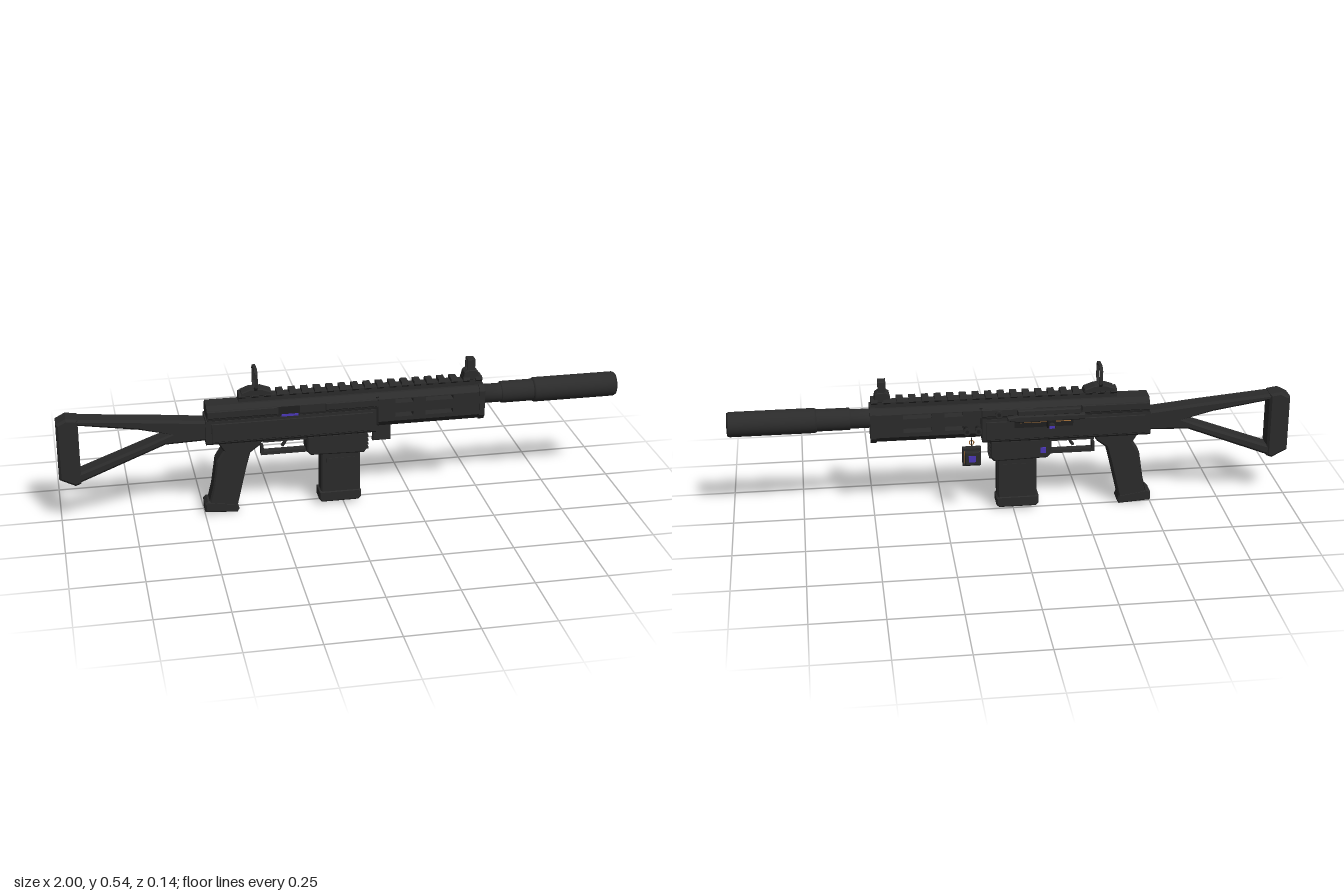
import * as THREE from 'three';

const mat = (name, color) => {
  const m = new THREE.MeshStandardMaterial({ color });
  m.name = name;
  return m;
};

export function createModel() {
  const black = mat('black polymer', 0x2b2b2b);
  const dark = mat('dark steel', 0x1f1f1f);
  const violet = mat('violet accent', 0x4a36b5);
  const bronze = mat('bronze', 0xa8743c);

  const root = new THREE.Group();
  const gun = new THREE.Group();
  gun.name = 'rifle';
  gun.position.z = 0.019;
  root.add(gun);

  const add = (name, geo, material = black) => {
    const m = new THREE.Mesh(geo, material);
    m.name = name;
    gun.add(m);
    return m;
  };
  const poly = (pts) => pts.map(([x, y]) => new THREE.Vector2(x, y));

  // Box given by its limits
  const box = (name, x0, x1, y0, y1, z0, z1, material) =>
    add(name, new THREE.BoxGeometry(x1 - x0, y1 - y0, z1 - z0)
      .translate((x0 + x1) / 2, (y0 + y1) / 2, (z0 + z1) / 2), material);

  // Side outline, extruded across the width with chamfered edges
  const plate = (name, pts, half, bevel = 0, holes = [], material = black, zc = 0) => {
    const s = new THREE.Shape(poly(pts));
    holes.forEach((h) => s.holes.push(new THREE.Path(poly(h))));
    const geo = new THREE.ExtrudeGeometry(s, {
      depth: 2 * (half - bevel), bevelEnabled: bevel > 0, bevelSegments: 1,
      bevelSize: bevel, bevelThickness: bevel, bevelOffset: -bevel,
    });
    return add(name, geo.translate(0, 0, zc - half + bevel), material);
  };
  const rect = (x0, x1, y0, y1) => [[x0, y0], [x1, y0], [x1, y1], [x0, y1]];

  // Symmetric section (right half, bottom to top) extruded along the barrel
  const beam = (name, half, x0, x1, material) => {
    const pts = [...half, ...half.map(([w, y]) => [-w, y]).reverse()];
    const geo = new THREE.ExtrudeGeometry(new THREE.Shape(poly(pts)), { depth: x1 - x0, bevelEnabled: false });
    return add(name, geo.rotateY(Math.PI / 2).translate(x0, 0, 0), material);
  };

  // Turned part along the barrel, profile as [x, radius]
  const turned = (name, profile, y, material = black) => {
    const pos = [];
    profile.forEach(([x, r]) => pos.push(new THREE.Vector2(r, x)));
    const g = new THREE.LatheGeometry(pos, 32).toNonIndexed();
    g.rotateZ(-Math.PI / 2).translate(0, y, 0);
    return add(name, g, material);
  };

  // Stock
  plate('stock', [[-0.99, 0.385], [-0.965, 0.402], [-0.665, 0.375], [-0.47, 0.355], [-0.47, 0.285],
    [-0.63, 0.28], [-0.94, 0.157], [-0.99, 0.18]].reverse(), 0.033, 0.008,
  [[[-0.925, 0.376], [-0.72, 0.344], [-0.61, 0.317], [-0.69, 0.288], [-0.925, 0.2]]]);
  plate('buttPad', [[-1, 0.18], [-0.945, 0.152], [-0.925, 0.16], [-0.925, 0.4], [-0.965, 0.406], [-1, 0.388]], 0.037, 0.008);

  // Receiver
  beam('lowerReceiver', [[0.04, 0.272], [0.046, 0.279], [0.046, 0.362], [0.042, 0.366]], -0.49, 0.112);
  beam('upperReceiver', [[0.042, 0.362], [0.045, 0.37], [0.045, 0.398], [0.029, 0.415]], -0.485, 0.12);
  for (const s of [-1, 1]) {
    const z = s * 0.046;
    plate('rearSidePanel', rect(-0.485, -0.24, 0.372, 0.4), 0.005, 0.003, [], black, z);
    plate('frontSidePanel', rect(-0.07, 0.115, 0.372, 0.4), 0.004, 0.003, [], black, z);
    plate('lowerSidePanel', rect(-0.47, 0.1, 0.283, 0.352), 0.003, 0.002, [], black, z);
    box('receiverSeam', -0.485, 0.112, 0.363, 0.366, s * 0.044 - 0.002, s * 0.044 + 0.002, dark);
  }
  box('leftPort', -0.235, -0.16, 0.368, 0.398, 0.044, 0.046, dark);
  box('leftAccent', -0.225, -0.165, 0.362, 0.37, 0.045, 0.0485, violet);

  // Handguard with open slots
  const guardWidth = [[0.03, 0.292], [0.046, 0.312], [0.046, 0.397], [0.03, 0.415]];
  beam('handguardFrontRing', [[0.034, 0.29], [0.049, 0.309], [0.049, 0.4], [0.033, 0.418]], 0.485, 0.505);
  [[0.12, 0.18], [0.245, 0.29], [0.39, 0.49]].forEach(([a, b]) => beam('handguard', guardWidth, a, b));
  [[0.18, 0.245], [0.29, 0.39]].forEach(([a, b]) => {
    beam('handguardFloor', [[0.03, 0.292], [0.046, 0.312], [0.046, 0.327]], a, b);
    beam('handguardMiddle', [[0.046, 0.343], [0.046, 0.379]], a, b);
    beam('handguardRoof', [[0.046, 0.394], [0.046, 0.397], [0.03, 0.415]], a, b);
  });
  box('handguardSeam', 0.112, 0.122, 0.3, 0.405, -0.042, 0.042, dark);

  // Top rail and teeth
  box('rail', -0.37, 0.5, 0.413, 0.434, -0.019, 0.019);
  for (let i = 0; i < 20; i++) {
    const x = -0.37 + i * 0.0445;
    beam('railTooth', [[0.019, 0.428], [0.025, 0.435], [0.021, 0.446]], x, x + 0.024);
  }

  // Rear ring sight
  const octagon = (w, y0, y1, c) => [[-w, y0 + c], [-w + c, y0], [w - c, y0], [w, y0 + c],
    [w, y1 - c], [w - c, y1], [-w + c, y1], [-w, y1 - c]];
  const ring = (name, w, y0, y1, c, t, x, depth) => {
    const s = new THREE.Shape(poly(octagon(w, y0, y1, c)));
    s.holes.push(new THREE.Path(poly(octagon(w - t, y0 + t, y1 - t, c * 0.8))));
    add(name, new THREE.ExtrudeGeometry(s, { depth, bevelEnabled: false })
      .rotateY(Math.PI / 2).translate(x - depth / 2, 0, 0));
  };
  ring('rearSightRing', 0.039, 0.456, 0.536, 0.015, 0.006, -0.31, 0.011);
  plate('rearSightBase', [[-0.365, 0.436], [-0.25, 0.436], [-0.255, 0.448], [-0.29, 0.461], [-0.33, 0.461], [-0.36, 0.45]], 0.024, 0.003);

  // Front sight
  plate('frontSightBase', [[0.43, 0.436], [0.49, 0.436], [0.485, 0.465], [0.475, 0.472], [0.445, 0.472], [0.435, 0.465]], 0.021, 0.003);
  ring('frontSightFrame', 0.0185, 0.464, 0.512, 0.003, 0.005, 0.46, 0.027);
  add('frontSightPost', new THREE.CylinderGeometry(0.0015, 0.004, 0.03, 8).translate(0.46, 0.482, 0));

  // Barrel and suppressor
  turned('barrel', [[0.49, 0], [0.49, 0.034], [0.575, 0.034], [0.575, 0.02]], 0.371);
  turned('suppressorCollar', [[0.57, 0.03], [0.575, 0.039], [0.69, 0.039], [0.695, 0.036]], 0.372);
  turned('suppressor', [[0.69, 0.034], [0.69, 0.04], [0.697, 0.044], [0.992, 0.044], [1, 0.04],
    [1, 0.015], [0.97, 0.014]], 0.372).material.flatShading = false;
  turned('bore', [[0.965, 0.015], [0.972, 0.015], [0.972, 0]], 0.372, dark);

  // Pistol grip, an open frame
  plate('grip', [[-0.45, 0.275], [-0.285, 0.275], [-0.3, 0.252], [-0.335, 0.225], [-0.35, 0.17], [-0.385, 0.02],
    [-0.49, 0.02], [-0.47, 0.1], [-0.455, 0.2], [-0.43, 0.24]].reverse(), 0.033, 0.006,
  [[[-0.415, 0.225], [-0.355, 0.22], [-0.368, 0.17], [-0.402, 0.045], [-0.477, 0.045], [-0.457, 0.12], [-0.442, 0.195]]]);
  plate('gripBase', [[-0.5, 0.008], [-0.385, 0], [-0.378, 0.012], [-0.385, 0.034], [-0.49, 0.05], [-0.5, 0.04]], 0.034, 0.005);

  // Trigger and guard
  box('triggerGuard', -0.295, -0.125, 0.205, 0.217, -0.014, 0.014);
  box('triggerGuardPost', -0.295, -0.285, 0.205, 0.24, -0.014, 0.014);
  box('guardUpperBar', -0.29, -0.13, 0.258, 0.275, -0.025, 0.025);
  add('trigger', new THREE.TubeGeometry(new THREE.CatmullRomCurve3([[-0.215, 0.27], [-0.206, 0.25], [-0.218, 0.23]]
    .map(([x, y]) => new THREE.Vector3(x, y, 0))), 8, 0.006, 6));

  // Magazine well with ribs
  plate('magazineWell', [[-0.135, 0.275], [-0.135, 0.215], [-0.12, 0.2], [0.07, 0.195], [0.083, 0.21], [0.083, 0.275]], 0.039, 0.005);
  for (let i = 0; i < 4; i++) {
    const y = 0.206 + i * 0.015;
    box('wellRib', 0.08, 0.087, y, y + 0.008, -0.032, 0.032);
  }
  box('magazineRelease', -0.115, -0.095, 0.222, 0.242, -0.045, -0.036, violet);

  // Magazine
  plate('magazine', rect(-0.083, 0.056, 0.03, 0.21), 0.031, 0.004);
  box('magazineFrontPanel', 0.05, 0.058, 0.052, 0.19, -0.026, 0.026);
  for (const s of [-1, 1]) {
    box('magazineSidePanel', -0.065, 0.038, 0.07, 0.18, s * 0.031 - 0.002, s * 0.031 + 0.002);
  }
  plate('magazineBase', [[-0.09, 0.02], [-0.08, 0.01], [0.052, 0.01], [0.062, 0.02], [0.062, 0.045], [0.052, 0.052], [-0.09, 0.052]], 0.034, 0.005);

  // Bolt cover, cartridge strip and charging knob on the right side
  plate('boltCover', [[-0.25, 0.355], [-0.02, 0.352], [0.025, 0.36], [0.025, 0.372], [-0.01, 0.378], [-0.25, 0.376]], 0.01, 0.004, [], black, -0.06);
  plate('boltCoverUpper', rect(-0.235, -0.01, 0.374, 0.397), 0.009, 0.004, [], black, -0.055);
  box('boltStrip', -0.2, -0.02, 0.349, 0.354, -0.062, -0.045, bronze);
  box('portRecess', -0.21, 0, 0.326, 0.35, -0.05, -0.045, dark);
  plate('chargingArm', rect(-0.145, -0.115, 0.328, 0.36), 0.012, 0.003, [], dark, -0.06);
  add('chargingKnob', new THREE.CylinderGeometry(0.012, 0.012, 0.014, 12).rotateX(Math.PI / 2)
    .translate(-0.13, 0.338, -0.079));
  box('knobAccent', -0.14, -0.12, 0.333, 0.343, -0.087, -0.073, violet);
  for (const [x, y] of [[0.055, 0.385], [0.13, 0.335], [0.17, 0.335]]) {
    const end = x > 0.1 ? 0.087 : 0.066;
    add('sidePin', new THREE.CylinderGeometry(0.007, 0.007, end - 0.04, 10).rotateX(Math.PI / 2)
      .translate(x, y, -(end + 0.04) / 2), dark);
    add('sidePinCap', new THREE.CylinderGeometry(0.013, 0.013, 0.008, 10).rotateX(Math.PI / 2)
      .translate(x, y, -end + 0.005));
  }

  // Hanging charm
  add('charmRing', new THREE.TorusGeometry(0.008, 0.002, 6, 14).translate(0.152, 0.281, -0.053), bronze);
  box('charmLink', 0.15, 0.154, 0.262, 0.3, -0.056, -0.052, dark);
  plate('charm', rect(0.12, 0.186, 0.197, 0.268), 0.009, 0.003, [], black, -0.06);
  plate('charmFace', rect(0.128, 0.178, 0.207, 0.257), 0.009, 0.003, [], black, -0.078);
  box('charmTrim', 0.126, 0.18, 0.21, 0.254, -0.071, -0.067, bronze);
  box('charmInset', 0.14, 0.166, 0.22, 0.244, -0.0885, -0.086, violet);

  return root;
}
